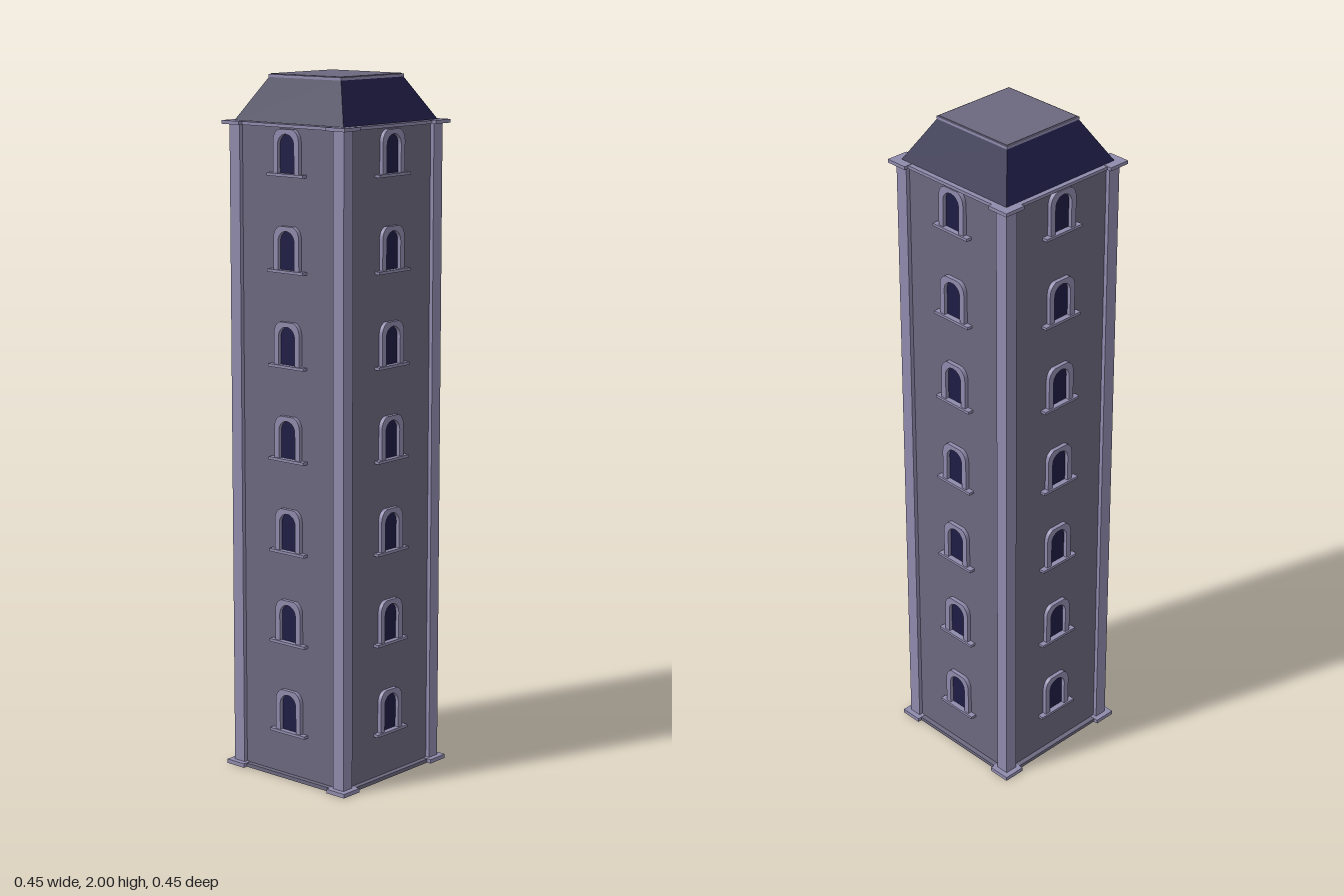
import * as THREE from 'three';

const wallMat = new THREE.MeshStandardMaterial({ color: 0x6c687f, flatShading: true });
const trimMat = new THREE.MeshStandardMaterial({ color: 0x8f8aac, flatShading: true });
const darkMat = new THREE.MeshStandardMaterial({ color: 0x1f1d45, flatShading: true });

const WALL = 0.198; // half width of the shaft
const TOP = 1.872; // height of the eaves

function add(parent, name, geometry, material, x = 0, y = 0, z = 0) {
  const mesh = new THREE.Mesh(geometry, material);
  mesh.name = name;
  mesh.position.set(x, y, z);
  parent.add(mesh);
  return mesh;
}

const box = (w, h, d) => new THREE.BoxGeometry(w, h, d);

// Round-headed opening, drawn from the sill upwards
function archOutline(Type) {
  const s = new Type();
  s.moveTo(-0.03, 0);
  s.lineTo(0.03, 0);
  s.lineTo(0.03, 0.08);
  s.absarc(0, 0.08, 0.03, 0, Math.PI, false);
  s.lineTo(-0.03, 0);
  return s;
}

// Surround with rounded shoulders and an arched hole
function surroundGeometry() {
  const s = new THREE.Shape();
  s.moveTo(-0.047, 0);
  s.lineTo(0.047, 0);
  s.lineTo(0.047, 0.09);
  s.quadraticCurveTo(0.045, 0.115, 0.025, 0.123);
  s.lineTo(-0.025, 0.123);
  s.quadraticCurveTo(-0.045, 0.115, -0.047, 0.09);
  s.closePath();
  s.holes.push(archOutline(THREE.Path));
  return new THREE.ExtrudeGeometry(s, { depth: 0.013, bevelEnabled: false, curveSegments: 8 });
}

export function createModel() {
  const tower = new THREE.Group();
  tower.name = 'tower';

  // Shaft
  add(tower, 'shaft', box(2 * WALL, TOP - 0.004, 2 * WALL), wallMat, 0, TOP / 2, 0);

  // Corner pilasters with a block at foot and head
  for (const sx of [-1, 1]) for (const sz of [-1, 1]) {
    add(tower, 'cornerPilaster', box(0.038, TOP - 0.02, 0.038), trimMat, sx * 0.191, TOP / 2, sz * 0.191);
    for (const y of [0.006, TOP - 0.005]) {
      add(tower, 'cornerBlock', box(0.066, y < 1 ? 0.012 : 0.01, 0.066), trimMat, sx * 0.193, y, sz * 0.193);
    }
  }

  // Plinth and eaves bands
  add(tower, 'plinth', box(0.426, 0.011, 0.426), wallMat, 0, 0.0055, 0);
  add(tower, 'eaves', box(0.426, 0.009, 0.426), trimMat, 0, TOP - 0.0055, 0);

  // Truncated pyramid roof: four-sided cylinder turned square to the axes
  const roof = new THREE.CylinderGeometry(0.131 * Math.SQRT2, 0.2 * Math.SQRT2, 0.12, 4);
  roof.rotateY(Math.PI / 4);
  add(tower, 'roof', roof, darkMat, 0, TOP + 0.06, 0);

  // Flat roof cap with a slim rim
  add(tower, 'roofRim', box(0.266, 0.008, 0.266), trimMat, 0, 1.994, 0);
  add(tower, 'roofCap', box(0.258, 0.006, 0.258), wallMat, 0, 1.997, 0);

  // Seven windows on each of the four sides
  const surround = surroundGeometry();
  const pane = new THREE.ShapeGeometry(archOutline(THREE.Shape), 8);
  const sill = box(0.132, 0.008, 0.025);
  for (let side = 0; side < 4; side++) {
    const face = new THREE.Group();
    face.name = 'windowColumn';
    face.rotation.y = side * Math.PI / 2;
    for (let i = 0; i < 7; i++) {
      const y = 0.14 + i * 0.2657;
      add(face, 'windowSurround', surround, trimMat, 0, y, WALL - 0.001);
      add(face, 'windowPane', pane, darkMat, 0, y, WALL + 0.001);
      add(face, 'windowSill', sill, trimMat, 0, y - 0.002, WALL + 0.0045);
    }
    tower.add(face);
  }
  return tower;
}
